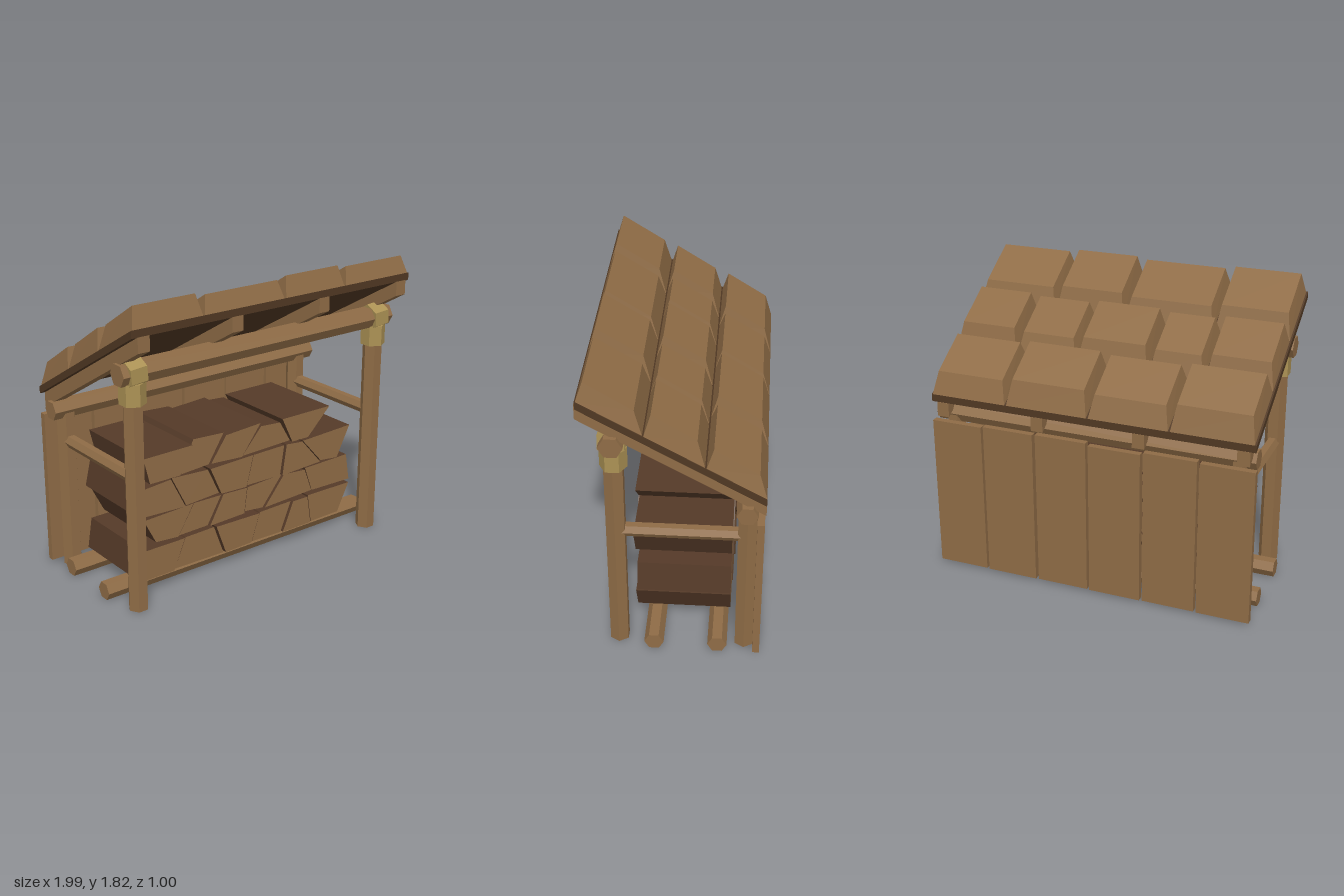
import * as THREE from 'three';

export function createModel() {
  const group = new THREE.Group();
  const paint = (name, color) => {
    const m = new THREE.MeshStandardMaterial({ color });
    m.name = name;
    return m;
  };
  const wood = paint('wood', 0x8f6c46);
  const bark = paint('bark', 0x553a28);
  const darkWood = paint('darkWood', 0x503823);
  const rope = paint('rope', 0xab9154);

  // Adds a mesh with hard-edged faces
  const add = (name, geometry, material, x = 0, y = 0, z = 0) => {
    const g = geometry.index ? geometry.toNonIndexed() : geometry;
    g.computeVertexNormals();
    const mesh = new THREE.Mesh(g, material);
    mesh.name = name;
    mesh.position.set(x, y, z);
    group.add(mesh);
    return mesh;
  };
  const hex = (r, length) => new THREE.CylinderGeometry(r, r, length, 6);
  const hexX = (r, length) => hex(r, length).rotateZ(Math.PI / 2);

  // Prism along x, centred on x, sheared down the roof slope from front to back
  const slope = 0.576;
  const slopedBar = (width, height, z0, z1, frontY) => {
    const shape = new THREE.Shape();
    shape.moveTo(-z0, frontY);
    shape.lineTo(-z0, frontY - height);
    shape.lineTo(-z1, frontY - height - slope * (z0 - z1));
    shape.lineTo(-z1, frontY - slope * (z0 - z1));
    return new THREE.ExtrudeGeometry(shape, { depth: width, bevelEnabled: false })
      .rotateY(Math.PI / 2).translate(-width / 2, 0, 0);
  };

  // Posts, side rails and rope lashings, mirrored
  for (const s of [-1, 1]) {
    const x = s * 0.885;
    add('frontPost', hex(0.06, 1.4).rotateY(Math.PI / 2), wood, x, 0.7, 0.322);
    add('backPost', hex(0.06, 1.0).rotateY(Math.PI / 2), wood, x, 0.5, -0.403);
    add('sideRail', hex(0.04, 0.66).rotateY(Math.PI / 2).rotateX(Math.PI / 2), wood, x, 0.805, -0.04);
    add('postLashing', hex(0.076, 0.125), rope, x, 1.3, 0.322);
    const lash = add('beamLashing', hexX(0.084, 0.105).rotateX(Math.PI / 2), rope, x, 1.415, 0.325);
    lash.rotation.z = 0.08;
  }

  // Long beams and ground rails
  add('frontBeam', hexX(0.067, 1.96), wood, 0, 1.415, 0.325);
  add('backBeam', hexX(0.06, 1.97), wood, 0, 1.005, -0.4);
  for (const z of [0.115, -0.25]) add('groundRail', hexX(0.056, 1.97), wood, 0, 0.05, z);

  // Back wall planks
  for (let i = 0; i < 6; i++) {
    const height = 0.952 + 0.008 * Math.sin(i * 2.3);
    add('backPlank', new THREE.BoxGeometry(0.318, height, 0.04), wood,
      -0.837 + i * 0.335, 0.015 + height / 2, -0.478 + (i % 2) * 0.004);
  }

  // Rafters and roof board
  for (const x of [-0.925, -0.315, 0.31, 0.92]) {
    add('rafter', slopedBar(0.074, 0.088, 0.505, -0.5, 1.664), wood, x);
  }
  add('roofBoard', slopedBar(1.985, 0.044, 0.495, -0.5, 1.703), darkWood, -0.002);

  // Shingles: tapered blocks sheared onto the slope
  const slopeY = (z) => 1.7 + slope * (z - 0.49);
  const shingle = (x0, x1, z0, z1, h) => {
    const g = new THREE.BoxGeometry(1, 1, 1);
    const p = g.attributes.position;
    for (let i = 0; i < p.count; i++) {
      const top = p.getY(i) > 0, front = p.getZ(i) > 0;
      const inset = top ? 0.026 : 0;
      const x = p.getX(i) > 0 ? x1 - inset : x0 + inset;
      const z = front ? z0 - inset * 1.4 : z1 + inset * 1.6;
      p.setXYZ(i, x, slopeY(z) + (top ? h - (front ? 0 : 0.012) : 0), z);
    }
    add('shingle', g, wood);
  };
  const shingleRows = [
    { z0: 0.49, z1: 0.155, joints: [-0.99, -0.53, 0.03, 0.48, 0.99] },
    { z0: 0.148, z1: -0.17, joints: [-0.99, -0.583, -0.245, 0.203, 0.588, 0.99] },
    { z0: -0.178, z1: -0.5, joints: [-0.99, -0.495, -0.005, 0.508, 0.99] },
  ];
  for (const { z0, z1, joints } of shingleRows) {
    for (let i = 0; i < joints.length - 1; i++) {
      shingle(joints[i] + 0.006, joints[i + 1] - 0.006, z0, z1, 0.132 + 0.008 * Math.cos(i * 3));
    }
  }

  // Split logs: each layer is cut by slanting joints; pale ends and dark sides
  const layers = [
    { y0: 0.1, y1: 0.287, front: 0.24,
      low: [-0.82, -0.57, -0.2, 0.01, 0.25, 0.49, 0.73], high: [-0.79, -0.49, -0.27, 0.07, 0.33, 0.46, 0.82] },
    { y0: 0.305, y1: 0.48, front: 0.23,
      low: [-0.7, -0.53, -0.31, -0.04, 0.11, 0.5, 0.83], high: [-0.78, -0.42, -0.21, -0.02, 0.26, 0.44, 0.8] },
    { y0: 0.495, y1: 0.685, front: 0.25,
      low: [-0.82, -0.49, -0.24, -0.04, 0.23, 0.55, 0.7], high: [-0.78, -0.59, -0.32, 0.01, 0.26, 0.4, 0.8] },
    { y0: 0.695, y1: 0.865, front: 0.243,
      low: [-0.74, -0.52, -0.31, -0.07, 0.31, 0.45], high: [-0.78, -0.43, -0.2, 0.07, 0.23, 0.62] },
  ];
  layers.forEach(({ y0, y1, front, low, high }, row) => {
    for (let i = 0; i < low.length - 1; i++) {
      const tilt = (row ? 0.015 : 0.006) * Math.sin(i * 2.4 + row);
      const rise = row === 3 ? 0.02 * Math.sin(i * 1.6 - 0.3) : 0;
      const shape = new THREE.Shape();
      shape.moveTo(low[i] + 0.006, y0 + Math.max(0, tilt));
      shape.lineTo(low[i + 1] - 0.006, y0 + Math.max(0, -tilt));
      shape.lineTo(high[i + 1] - 0.006, y1 + rise + tilt / 2);
      shape.lineTo(high[i] + 0.006, y1 + rise - tilt / 2);
      const back = -0.33 + (i % 3) * 0.006;
      const depth = front - (i % 2) * 0.01 - back;
      add('splitLog', new THREE.ExtrudeGeometry(shape, { depth, bevelEnabled: false }), [wood, bark], 0, 0, back);
    }
  });

  return group;
}
